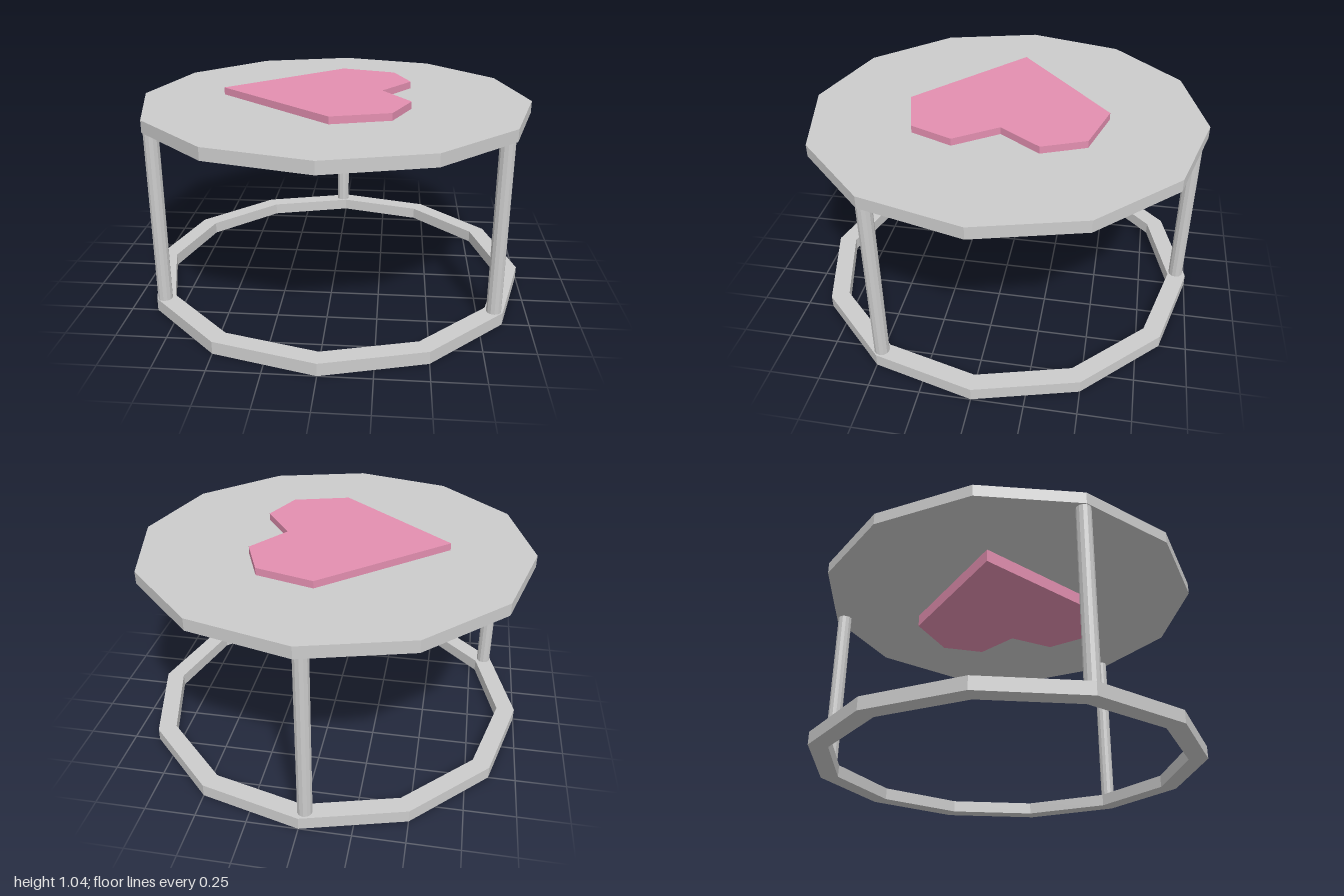
import * as THREE from 'three';

const SIDES = 12;

const grey = new THREE.MeshStandardMaterial({ color: 0xcccccc, flatShading: true });
const pink = new THREE.MeshStandardMaterial({ color: 0xe38fb0, flatShading: true });

// Corners of a regular polygon with one corner on +x
function polygon(radius) {
  return Array.from({ length: SIDES }, (_, i) => {
    const a = (i / SIDES) * Math.PI * 2;
    return new THREE.Vector2(radius * Math.cos(a), radius * Math.sin(a));
  });
}

// Flat plate: a shape in plan (x, -z) raised from y0 to y1
function plate(name, shape, y0, y1, material) {
  const geometry = new THREE.ExtrudeGeometry(shape, { depth: y1 - y0, bevelEnabled: false });
  geometry.rotateX(-Math.PI / 2);
  geometry.translate(0, y0, 0);
  const mesh = new THREE.Mesh(geometry, material);
  mesh.name = name;
  return mesh;
}

export function createModel() {
  const table = new THREE.Group();
  table.name = 'table';

  // Twelve-sided top
  table.add(plate('tableTop', new THREE.Shape(polygon(1)), 0.945, 1.006, grey));

  // Open base ring
  const ring = new THREE.Shape(polygon(1));
  ring.holes.push(new THREE.Path(polygon(0.905)));
  table.add(plate('baseRing', ring, 0, 0.064, grey));

  // Heart inlay passing through the top, pointing to -x
  const half = [[0.01, 0.505], [0.3, 0.423], [0.39, 0.208]];
  const outline = [
    [-0.58, 0],
    ...half.map(([x, y]) => [x, -y]),
    [0.243, 0],
    ...half.slice().reverse(),
  ].map(([x, y]) => new THREE.Vector2(x, y + 0.01));
  table.add(plate('heartInlay', new THREE.Shape(outline), 0.878, 1.043, pink));

  // Three legs between ring and top
  const legGeometry = new THREE.CylinderGeometry(0.037, 0.037, 0.9, SIDES);
  [[-0.828, 0.482], [0.824, 0.482], [-0.022, -0.947]].forEach(([x, z], i) => {
    const leg = new THREE.Mesh(legGeometry, grey);
    leg.name = `leg${i + 1}`;
    leg.position.set(x, 0.505, z);
    table.add(leg);
  });

  return table;
}
